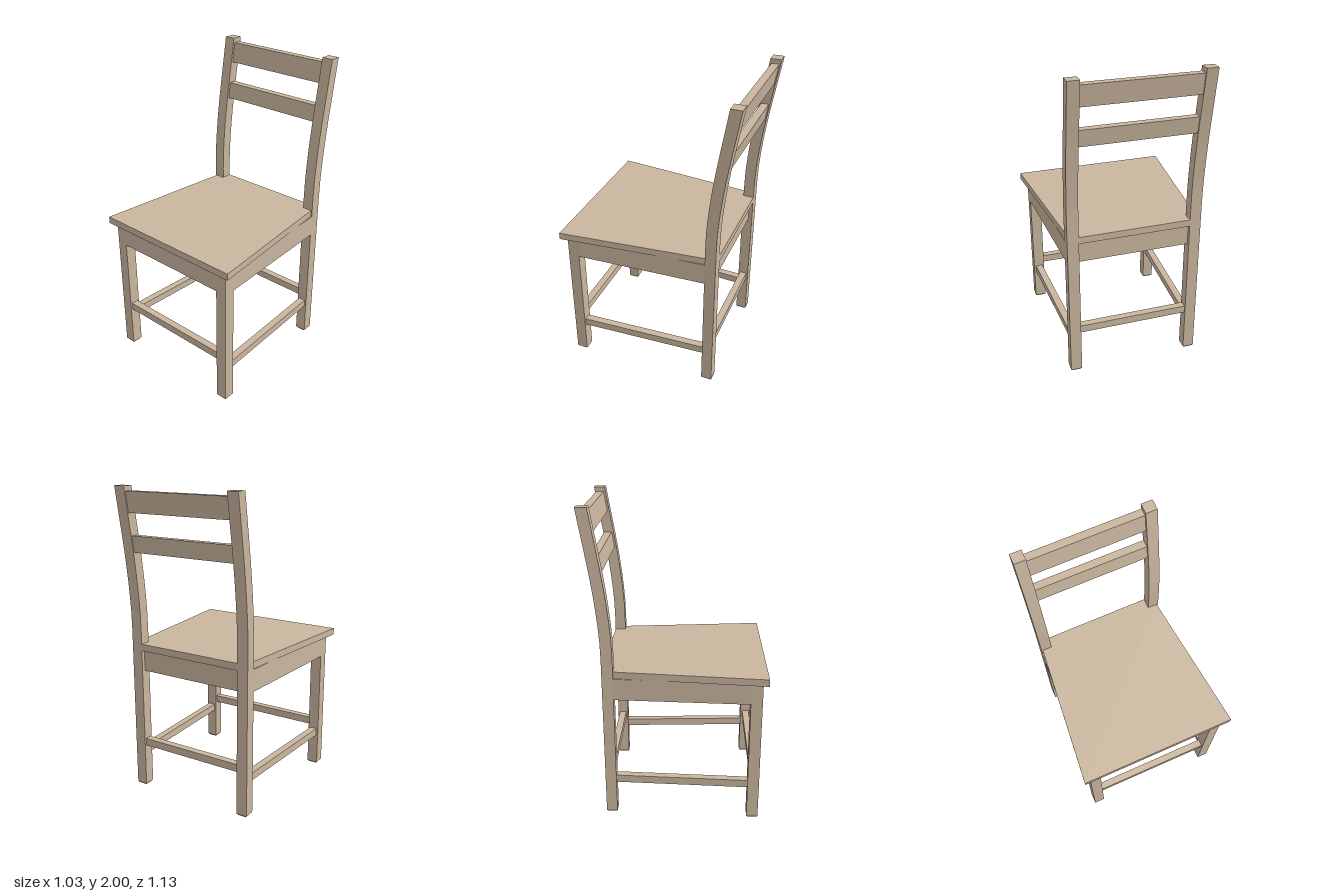
import * as THREE from 'three';

export function createModel() {
  const chair = new THREE.Group();
  chair.name = 'chair';
  const wood = new THREE.MeshStandardMaterial({ color: 0xcab69f });
  wood.name = 'paleWood';

  const add = (name, geometry) => {
    const mesh = new THREE.Mesh(geometry, wood);
    mesh.name = name;
    chair.add(mesh);
  };
  const shapeOf = (points) => new THREE.Shape(points.map(([a, b]) => new THREE.Vector2(a, b)));

  // Vertical prism over an [x, z] outline
  const prism = (name, outline, y0, y1) => {
    const g = new THREE.ExtrudeGeometry(shapeOf(outline), { depth: y1 - y0, bevelEnabled: false });
    add(name, g.rotateX(Math.PI / 2).translate(0, y1, 0));
  };
  // Sideways prism over a [z, y] outline
  const sidePrism = (name, outline, x0, x1) => {
    const g = new THREE.ExtrudeGeometry(shapeOf(outline), { depth: x1 - x0, bevelEnabled: false });
    add(name, g.rotateY(-Math.PI / 2).translate(x1, 0, 0));
  };
  const box = (name, x0, x1, y0, y1, z0, z1) =>
    add(name, new THREE.BoxGeometry(x1 - x0, y1 - y0, z1 - z0)
      .translate((x0 + x1) / 2, (y0 + y1) / 2, (z0 + z1) / 2));
  // Chamfered leg end
  const foot = (name, x, z) =>
    add(name, new THREE.CylinderGeometry(0.036 * Math.SQRT2, 0.028 * Math.SQRT2, 0.01, 4)
      .toNonIndexed().rotateY(Math.PI / 4).translate(x, 0.005, z));

  // Seat board, narrowing to the back and notched around the posts
  const half = [[0.517, 0.565], [0.424, -0.385], [0.36, -0.385], [0.36, -0.455]];
  const mirrored = half.map(([x, z]) => [-x, z]).reverse();
  prism('seat', [...half, ...mirrored], 0.955, 1);

  // Front edge of the back posts as [z, y]
  const bend = [[-0.385, 1.08], [-0.388, 1.2], [-0.395, 1.3], [-0.405, 1.4],
    [-0.417, 1.5], [-0.431, 1.6], [-0.447, 1.7], [-0.497, 2]];
  const front = [[-0.385, 0.01], ...bend];
  const back = front.map(([z, y]) => [z - 0.07, y]).reverse();

  for (const s of [1, -1]) {
    const side = s > 0 ? 'left' : 'right';
    const span = (a, b) => (s > 0 ? [a, b] : [-b, -a]);

    // Legs, with the rear ones continuing as curved posts
    box(side + 'FrontLeg', ...span(0.401, 0.474), 0.01, 0.955, 0.461, 0.534);
    sidePrism(side + 'RearPost', [...front, ...back], ...span(0.36, 0.433));
    foot(side + 'FrontFoot', s * 0.4375, 0.4975);
    foot(side + 'RearFoot', s * 0.3965, -0.42);

    // Side rails run slightly inward toward the back
    prism(side + 'Apron', [[s * 0.474, 0.461], [s * 0.433, -0.385],
      [s * 0.388, -0.385], [s * 0.429, 0.461]], 0.815, 0.955);
    prism(side + 'Stretcher', [[s * 0.461, 0.461], [s * 0.42, -0.385],
      [s * 0.373, -0.385], [s * 0.414, 0.461]], 0.22, 0.27);
  }

  // Front and rear rails
  box('frontApron', -0.401, 0.401, 0.815, 0.955, 0.489, 0.534);
  box('rearApron', -0.36, 0.36, 0.815, 0.955, -0.43, -0.385);
  box('frontStretcher', -0.401, 0.401, 0.29, 0.34, 0.474, 0.521);
  box('rearStretcher', -0.36, 0.36, 0.29, 0.34, -0.443, -0.397);

  // Back slats, leaning with the posts
  const slat = (name, z0, y0, z1, y1) =>
    sidePrism(name, [[z0, y0], [z1, y1], [z1 - 0.049, y1], [z0 - 0.049, y0]], -0.36, 0.36);
  slat('upperSlat', -0.484, 1.84, -0.505, 1.97);
  slat('lowerSlat', -0.444, 1.595, -0.46, 1.7);

  return chair;
}
